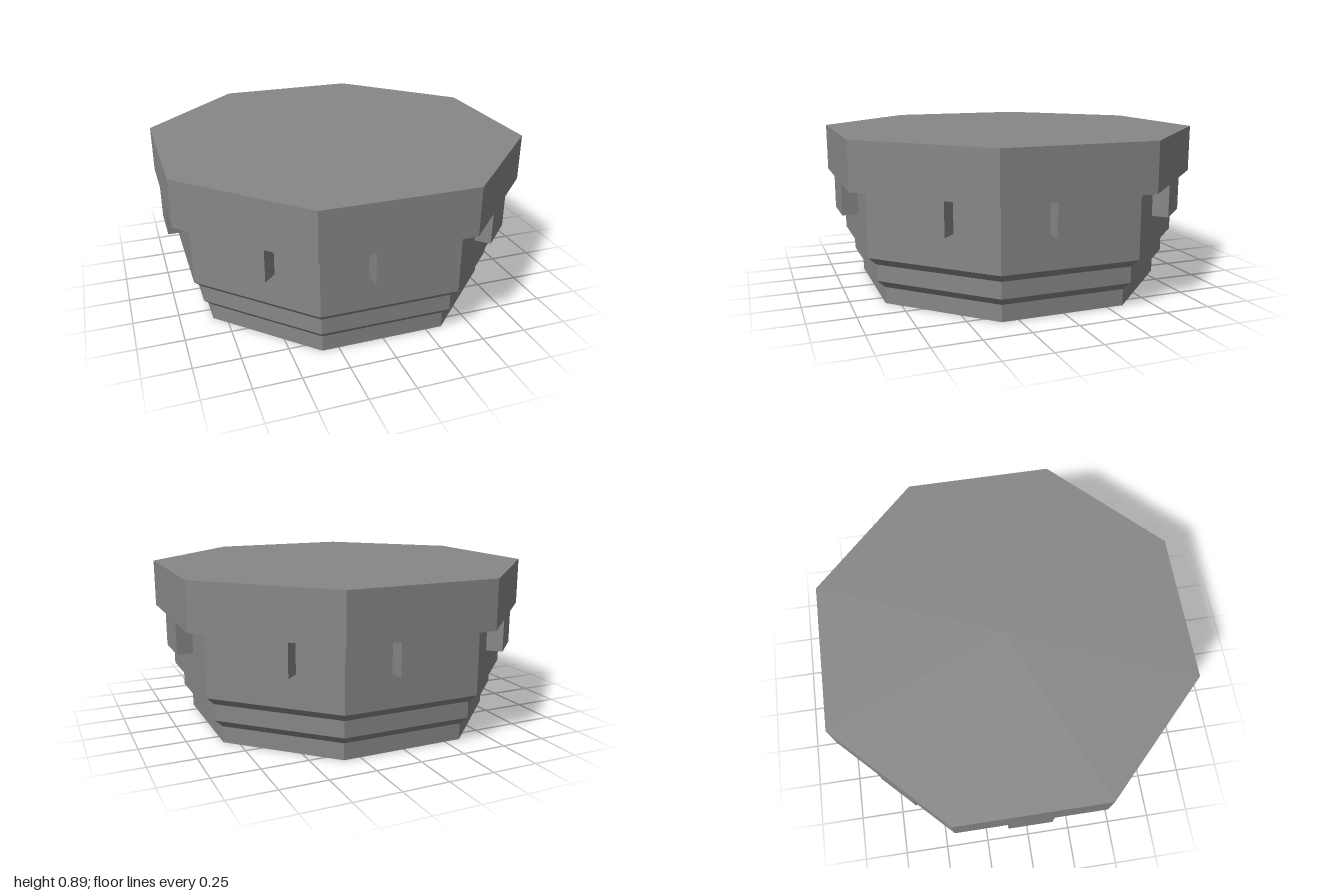
import * as THREE from 'three';

const SIDES = 8;
const material = new THREE.MeshStandardMaterial({ color: 0x878787, flatShading: true });

// Octagonal solid from [distance to flat side, height] pairs, listed bottom to top
function octagon(name, profile) {
  const toCorner = 1 / Math.cos(Math.PI / SIDES);
  const points = profile.map(([d, y]) => new THREE.Vector2(d * toCorner, y));
  const mesh = new THREE.Mesh(new THREE.LatheGeometry(points, SIDES, Math.PI / SIDES), material);
  mesh.name = name;
  return mesh;
}

export function createModel() {
  const model = new THREE.Group();
  model.name = 'octagonalCapital';

  // Stepped body with two chamfered ledges
  model.add(octagon('steppedBody', [
    [0, 0], [0.822, 0], [0.822, 0.09], [0.866, 0.134],
    [0.866, 0.224], [0.912, 0.268], [0.912, 0.626],
  ]));

  // Overhanging top slab
  model.add(octagon('topSlab', [[0, 0.626], [1, 0.626], [1, 0.89], [0, 0.89]]));

  // One square tab hanging below the slab on each side
  const tabs = new THREE.Group();
  tabs.name = 'tabs';
  const tabGeometry = new THREE.BoxGeometry(0.25, 0.178, 0.088).translate(0, 0.537, 0.956);
  for (let i = 0; i < SIDES; i++) {
    const tab = new THREE.Mesh(tabGeometry, material);
    tab.name = 'tab';
    tab.rotation.y = (i * 2 * Math.PI) / SIDES;
    tabs.add(tab);
  }
  model.add(tabs);

  return model;
}
